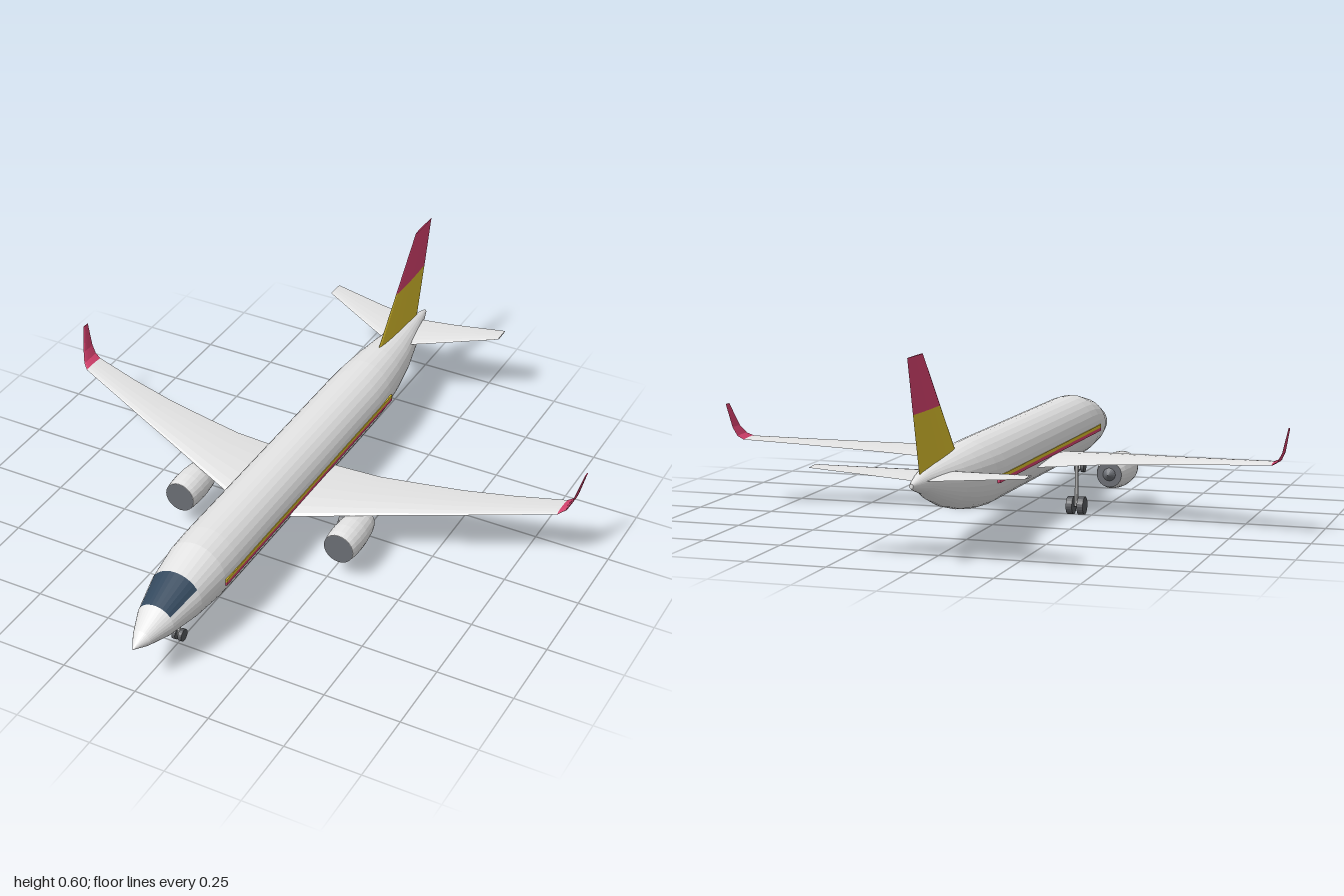
import * as THREE from 'three';

const mat = (name, color) => {
  const m = new THREE.MeshStandardMaterial({ color });
  m.name = name;
  return m;
};

// Skin a list of closed rings with flat facets; keep(i, j) picks the quads, caps closes both ends.
function loft(rings, keep = () => true, caps = true) {
  const pos = [];
  const tri = (...pts) => pts.forEach(p => pos.push(p.x, p.y, p.z));
  const n = rings[0].length;
  for (let i = 0; i < rings.length - 1; i++) {
    for (let j = 0; j < n; j++) {
      if (!keep(i, j)) continue;
      const k = (j + 1) % n;
      const a = rings[i][j], b = rings[i][k], c = rings[i + 1][k], d = rings[i + 1][j];
      tri(a, b, c);
      tri(a, c, d);
    }
  }
  if (caps) {
    const mid = r => r.reduce((s, p) => s.add(p), new THREE.Vector3()).divideScalar(n);
    const first = rings[0], last = rings[rings.length - 1];
    for (let j = 0; j < n; j++) {
      const k = (j + 1) % n;
      tri(mid(first), first[k], first[j]);
      tri(mid(last), last[j], last[k]);
    }
  }
  const g = new THREE.BufferGeometry();
  g.setAttribute('position', new THREE.Float32BufferAttribute(pos, 3));
  g.computeVertexNormals();
  return g;
}

function flat(geometry) {
  const g = geometry.index ? geometry.toNonIndexed() : geometry;
  g.computeVertexNormals();
  return g;
}

// Aerofoil outline: round at the front, sharp at the back
const FOIL = 16;
const foil = j => {
  const t = (j / FOIL) * Math.PI * 2;
  return { c: Math.cos(t), s: 1.2 * Math.sin(t) * Math.sqrt((1 + Math.cos(t)) / 2 + 0.02) };
};

// Wing section: [x, front z, back z, y, thickness, tilt]
function wingRing([x, zf, zb, y, th, tilt = 0], side) {
  return Array.from({ length: FOIL }, (_, j) => {
    const { c, s } = foil(side > 0 ? FOIL - j : j);
    const h = (s * th) / 2;
    return new THREE.Vector3(side * (x - Math.sin(tilt) * h), y + Math.cos(tilt) * h,
      (zf + zb) / 2 + (c * (zf - zb)) / 2);
  });
}

// Fin section: [y, front z, back z, thickness]
function finRing([y, zf, zb, th]) {
  return Array.from({ length: FOIL }, (_, j) => {
    const { c, s } = foil(j);
    return new THREE.Vector3((s * th) / 2, y, (zf + zb) / 2 + (c * (zf - zb)) / 2);
  });
}

export function createModel() {
  const white = mat('white paint', 0xe6e6e6);
  const yellow = mat('yellow paint', 0xdcc02e);
  const pink = mat('pink paint', 0xd9426f);
  const glass = mat('cockpit glass', 0x34495e);
  const dark = mat('engine grey', 0x6a6d73);
  const tyre = mat('tyre grey', 0x585a5e);

  const root = new THREE.Group();
  root.name = 'airliner';
  const add = (name, geometry, material, x = 0, y = 0, z = 0) => {
    const m = new THREE.Mesh(geometry, material);
    m.name = name;
    m.position.set(x, y, z);
    root.add(m);
    return m;
  };

  // Fuselage from tail to nose: z, centre y, half width, half height
  const SIDES = 32;
  const body = [
    [-0.975, 0.241, 0.006, 0.007], [-0.94, 0.239, 0.017, 0.018], [-0.88, 0.236, 0.032, 0.033],
    [-0.8, 0.2245, 0.053, 0.055], [-0.7, 0.212, 0.075, 0.077], [-0.6, 0.204, 0.09, 0.093],
    [-0.5, 0.199, 0.1, 0.103], [-0.42, 0.1965, 0.104, 0.1065], [0.55, 0.1965, 0.104, 0.1065],
    [0.63, 0.195, 0.102, 0.104], [0.75, 0.188, 0.089, 0.086], [0.87, 0.176, 0.062, 0.057],
    [0.95, 0.167, 0.03, 0.027], [1, 0.162, 0.001, 0.001],
  ];
  const hull = body.map(([z, cy, rx, ry]) => Array.from({ length: SIDES }, (_, j) => {
    const t = (j / SIDES) * Math.PI * 2;
    return new THREE.Vector3(Math.cos(t) * rx, cy + Math.sin(t) * ry, z);
  }));
  const isGlass = (i, j) => body[i][0] === 0.75 && j >= 3 && j <= 12;
  add('fuselage', loft(hull, (i, j) => !isGlass(i, j)), white);
  add('cockpitWindow', loft(hull, isGlass, false), glass);

  // Tail fin in two colours
  const finMid = [0.44, -0.732, -0.957, 0.01];
  add('finLower', loft([[0.25, -0.567, -0.905, 0.018], finMid].map(finRing)), yellow);
  add('finUpper', loft([finMid, [0.605, -0.875, -1, 0.005]].map(finRing)), pink);

  // Lifting surfaces
  const wing = [
    [0.05, 0.24, -0.1, 0.158, 0.034], [0.26, 0.15, -0.09, 0.176, 0.025],
    [0.4, 0.088, -0.105, 0.187, 0.02], [0.545, 0.025, -0.125, 0.197, 0.016],
    [0.7, -0.043, -0.157, 0.209, 0.012], [0.865, -0.115, -0.2, 0.222, 0.009, 0.2],
  ];
  const winglet = [
    wing[5], [0.885, -0.131, -0.204, 0.234, 0.008, 0.8], [0.9, -0.153, -0.208, 0.262, 0.006, 1.2],
    [0.919, -0.19, -0.216, 0.338, 0.004, 1.35],
  ];
  const tailplane = [
    [0.01, -0.72, -0.912, 0.245, 0.014], [0.14, -0.786, -0.92, 0.256, 0.011],
    [0.323, -0.88, -0.942, 0.273, 0.006],
  ];

  // Engine casing profile along z: radius, offset
  const casing = [[0.041, -0.088], [0.049, -0.06], [0.055, -0.01], [0.056, 0.03], [0.054, 0.065],
    [0.051, 0.085], [0.047, 0.085], [0.046, 0.075]].map(([r, z]) => new THREE.Vector2(r, z));

  // Wheel pair with its strut
  const gear = (name, x, z, r, width, gap, top) => {
    add(name + 'Strut', flat(new THREE.CylinderGeometry(0.006, 0.006, top - r, 10)), white, x, (top + r) / 2, z);
    const axle = add(name + 'Axle', flat(new THREE.CylinderGeometry(0.005, 0.005, gap * 2, 8)), tyre, x, 0.03, z);
    axle.rotation.z = Math.PI / 2;
    for (const s of [-1, 1]) {
      const w = add(name + 'Wheel', flat(new THREE.CylinderGeometry(r, r, width, 20)), tyre, x + s * gap, 0.03, z);
      w.rotation.z = Math.PI / 2;
    }
  };

  for (const side of [1, -1]) {
    const tag = side > 0 ? 'left' : 'right';
    const surface = sections => loft(sections.map(s => wingRing(s, side)));
    add(tag + 'Wing', surface(wing), white);
    add(tag + 'Winglet', surface(winglet), pink);
    add(tag + 'Tailplane', surface(tailplane), white);

    // Engine with dark intake, nozzle and exhaust cone
    const ex = side * 0.287, ey = 0.122, ez = 0.162;
    const shell = flat(new THREE.LatheGeometry(casing, 24));
    shell.rotateX(Math.PI / 2);
    add(tag + 'EngineCasing', shell, white, ex, ey, ez);
    add(tag + 'EngineIntake', new THREE.CircleGeometry(0.05, 24), dark, ex, ey, ez + 0.0855);
    const nozzle = add(tag + 'EngineNozzle', new THREE.CircleGeometry(0.041, 24), dark, ex, ey, ez - 0.088);
    nozzle.rotation.y = Math.PI;
    const cone = add(tag + 'ExhaustCone', flat(new THREE.ConeGeometry(0.022, 0.02, 16)), dark, ex, ey, ez - 0.097);
    cone.rotation.x = -Math.PI / 2;

    // Side stripes
    add(tag + 'YellowStripe', new THREE.BoxGeometry(0.008, 0.011, 1.13), yellow, side * 0.102, 0.195, 0.065);
    add(tag + 'PinkStripe', new THREE.BoxGeometry(0.008, 0.011, 1.13), pink, side * 0.102, 0.184, 0.065);

    gear(tag + 'MainGear', side * 0.2, 0, 0.029, 0.02, 0.018, 0.17);
  }
  gear('noseGear', 0, 0.74, 0.02, 0.012, 0.011, 0.13);

  // Stand the wheels on the ground
  root.children.forEach(c => { c.position.y -= 0.001; });
  return root;
}
